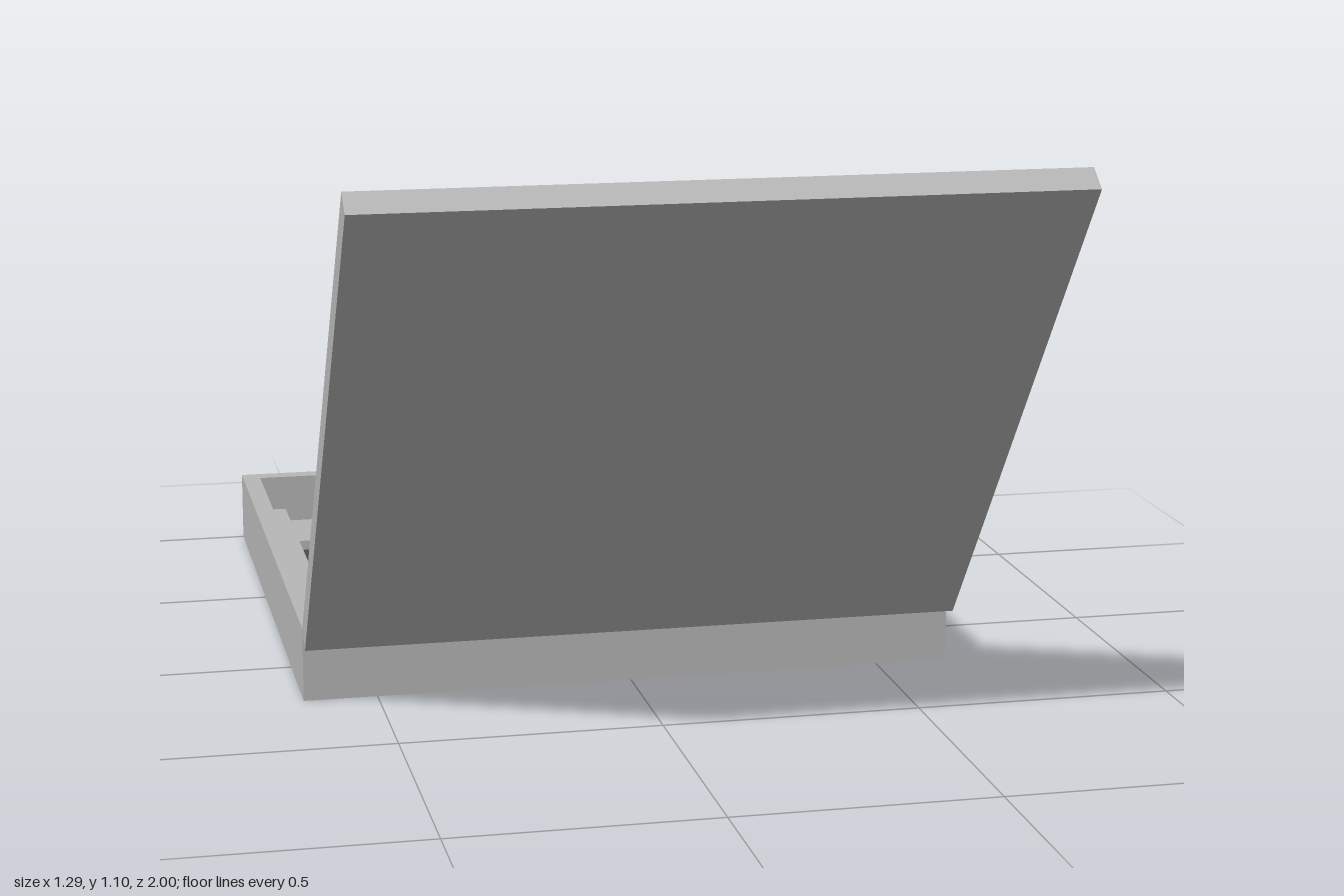
import * as THREE from 'three';

const mat = (name, color) => {
  const m = new THREE.MeshStandardMaterial({ color });
  m.name = name;
  return m;
};

// Rectangle corners in x and z, with optional cut corners (y of the shape is -z)
function corners(x0, x1, z0, z1, c = 0) {
  const p = c
    ? [[x0 + c, z0], [x1 - c, z0], [x1, z0 + c], [x1, z1 - c], [x1 - c, z1], [x0 + c, z1], [x0, z1 - c], [x0, z0 + c]]
    : [[x0, z0], [x1, z0], [x1, z1], [x0, z1]];
  return p.map(([x, z]) => new THREE.Vector2(x, -z));
}

// Flat slab from y0 to y1; the outline runs anticlockwise and the holes clockwise
function slab(name, material, rect, y0, y1, holes = [], cut = 0) {
  const shape = new THREE.Shape(corners(...rect, cut).reverse());
  shape.holes = holes.map(h => new THREE.Path(corners(...h)));
  const geo = new THREE.ExtrudeGeometry(shape, { depth: y1 - y0, bevelEnabled: false });
  geo.rotateX(-Math.PI / 2).translate(0, y0, 0);
  const mesh = new THREE.Mesh(geo, material);
  mesh.name = name;
  return mesh;
}

export function createModel() {
  const casing = mat('casing grey', 0xb7b7b7);
  const powder = mat('dark powder', 0x4a4a4a);
  const black = mat('black powder', 0x000000);
  const model = new THREE.Group();
  model.name = 'powderPalette';

  // Base tray: bottom plate, walls and insert with wells
  const W = 0.643, I = 0.605, floorY = 0.07, wellY = 0.042;
  const xs = [-0.422, -0.003, 0.414], zs = [-0.858, -0.573, -0.288, 0];
  const hx = 0.127, hz = 0.108;
  const wells = [];
  for (const x of xs) for (const z of zs) wells.push([x - hx, x + hx, Math.max(z - hz, -0.964), z + hz]);
  const base = new THREE.Group();
  base.name = 'base';
  base.add(
    slab('basePlate', casing, [-W, W, -1, 0.217], 0, wellY),
    slab('baseWalls', casing, [-W, W, -1, 0.217], wellY, 0.145, [[-I, I, -0.963, 0.177]]),
    slab('wellInsert', casing, [-0.62, 0.62, -0.98, 0.19], wellY, floorY, wells)
  );
  model.add(base);

  // Powders: column, row, half width, half depth, corner cut, material
  const fills = [
    [1, 0, 0.126, 0.107, 0.006, powder],
    [0, 1, 0.126, 0.107, 0.01, powder],
    [2, 1, 0.113, 0.097, 0.018, powder],
    [0, 2, 0.108, 0.091, 0.01, powder],
    [1, 2, 0.126, 0.107, 0.008, powder],
    [1, 3, 0.126, 0.104, 0.022, powder],
    [2, 3, 0.126, 0.107, 0.006, black]
  ];
  for (const [c, r, a, b, cut, m] of fills) {
    const x = xs[c], z = zs[r];
    const z0 = Math.max(z - b, -0.962);
    model.add(slab('powder', m, [x - a, x + a, z0, z + b], wellY, wellY + 0.008, [], cut));
  }

  // Thin spills at well rims: x, z, half width, reach, turn
  const spills = [
    [0.41, 0.108, 0.08, 0.024, 0], [0.287, 0, 0.08, 0.02, -Math.PI / 2],
    [0.02, -0.18, 0.1, 0.016, 0], [-0.13, -0.288, 0.09, 0.014, -Math.PI / 2]
  ];
  for (const [x, z, a, reach, turn] of spills) {
    const geo = new THREE.CircleGeometry(1, 14, Math.PI, Math.PI);
    geo.scale(a, reach, 1).rotateX(-Math.PI / 2).rotateY(turn);
    const spill = new THREE.Mesh(geo, powder);
    spill.name = 'powderSpill';
    spill.position.set(x, floorY + 0.001, z);
    model.add(spill);
  }

  // Open lid, built flat with its inside up, then swung about the hinge
  const L = 1.211, lid = new THREE.Group();
  lid.name = 'lid';
  lid.add(
    slab('lidPanel', casing, [-W, W, 0, L], -0.052, -0.043),
    slab('lidRim', casing, [-W, W, 0, L], -0.043, 0, [[-I, I, 0.034, L - 0.034]]),
    slab('mirrorFrame', casing, [-0.53, 0.53, 0.1, L - 0.098], -0.043, -0.029, [[-0.512, 0.512, 0.12, L - 0.118]]),
    slab('mirror', casing, [-0.512, 0.512, 0.12, L - 0.118], -0.045, -0.042)
  );
  lid.position.set(0, 0.145, 0.218);
  lid.rotation.x = -Math.atan2(0.96, 0.74);
  model.add(lid);
  return model;
}
